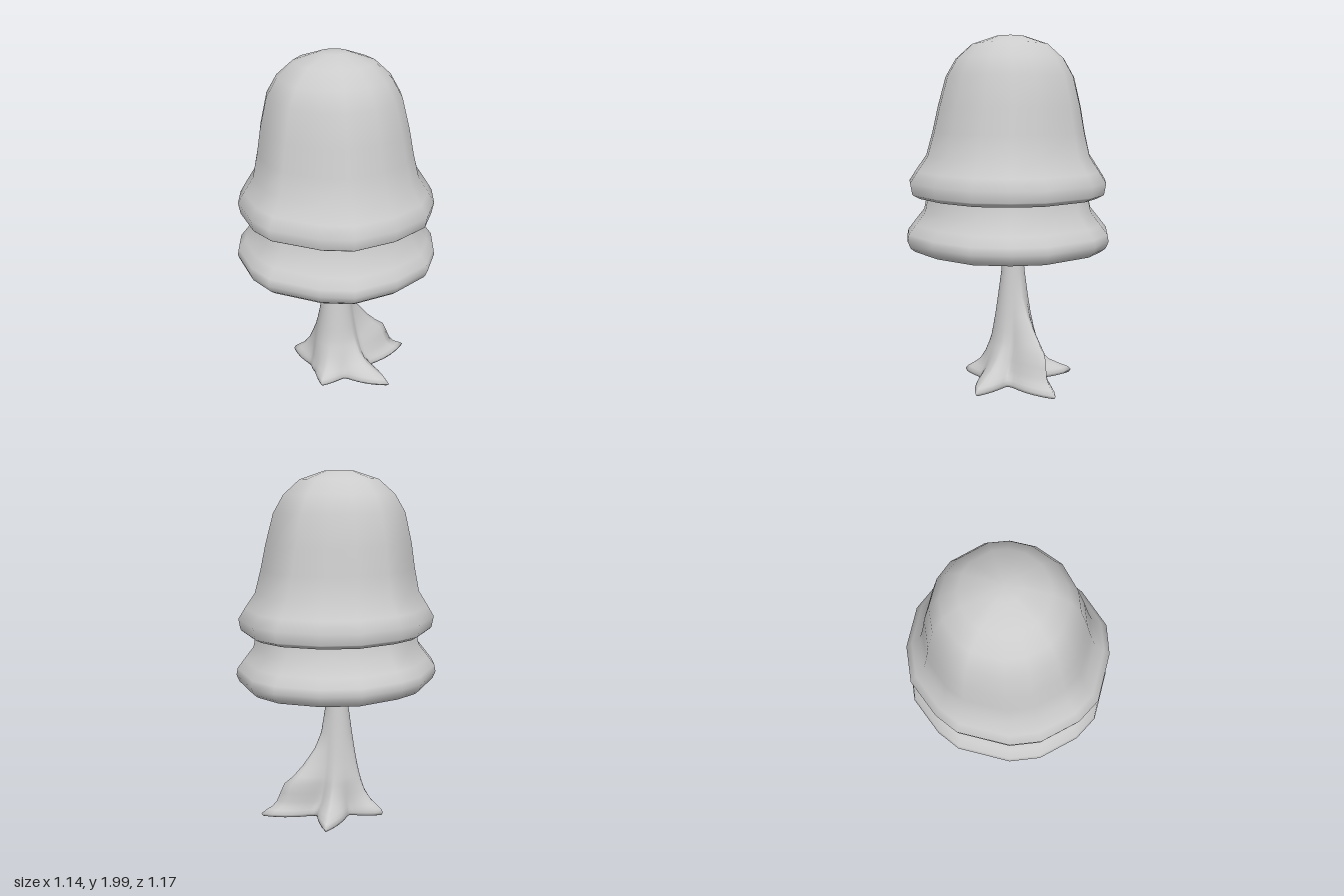
import * as THREE from 'three';
import { mergeVertices } from 'three/addons/utils/BufferGeometryUtils.js';

const material = new THREE.MeshStandardMaterial({ color: 0xcccccc });
const { clamp, lerp } = THREE.MathUtils;

// Uneven plan outline shared by both foliage tiers: [x, z]
const OUTLINE = [
  [-0.06, -0.59], [0.19, -0.57], [0.35, -0.48], [0.54, -0.22],
  [0.57, -0.03], [0.55, 0.18], [0.41, 0.39], [0.21, 0.55],
  [0.03, 0.58], [-0.26, 0.535], [-0.39, 0.44], [-0.53, 0.24],
  [-0.57, 0.07], [-0.53, -0.23], [-0.45, -0.36], [-0.27, -0.53],
];
const OUTLINE_RADIUS = 0.575;

// Skin closed rings; point(ring, segment) returns [x, y, z]
function loft(name, rings, segments, point) {
  const positions = [], index = [];
  for (let i = 0; i < rings; i++) {
    for (let j = 0; j < segments; j++) {
      positions.push(...point(i, j));
      if (i === rings - 1) continue;
      const a = i * segments + j, b = i * segments + (j + 1) % segments;
      const c = a + segments, d = b + segments;
      index.push(a, c, b, b, c, d);
    }
  }
  let geometry = new THREE.BufferGeometry();
  geometry.setAttribute('position', new THREE.Float32BufferAttribute(positions, 3));
  geometry.setIndex(index);
  geometry = mergeVertices(geometry, 1e-4);
  geometry.computeVertexNormals();
  const mesh = new THREE.Mesh(geometry, material);
  mesh.name = name;
  return mesh;
}

// Foliage tier: profile [radius, y] from the inner ceiling, round the rim, to the top.
// The plan becomes rounder and leans slightly towards the crown.
function foliage(name, profile, tilt) {
  return loft(name, profile.length, OUTLINE.length, (i, j) => {
    const [r, y] = profile[i];
    const [ox, oz] = OUTLINE[j];
    const s = r / OUTLINE_RADIUS;
    const rise = clamp((y - 1.2) / 0.5, 0, 1);
    const round = lerp(1, OUTLINE_RADIUS / Math.hypot(ox, oz), rise);
    const lean = -0.018 * rise;
    return [ox * s * round + lean, y - tilt * ox * s * s, oz * s * round + lean];
  });
}

// Trunk rings: [y, core radius, root spread, spread of the one arched root]
const TRUNK = [
  [0.03, 0, 0, 0], [0.022, 0.12, 0.6, 0.6], [0.012, 0.165, 0.95, 0.96],
  [0.03, 0.17, 1, 1], [0.05, 0.165, 0.93, 0.9], [0.07, 0.16, 0.75, 0.78],
  [0.1, 0.152, 0.5, 0.7], [0.15, 0.145, 0.28, 0.64], [0.21, 0.135, 0.16, 0.57],
  [0.25, 0.128, 0.1, 0.42], [0.31, 0.117, 0.06, 0.27], [0.4, 0.102, 0.03, 0.11],
  [0.5, 0.088, 0, 0.02], [0.65, 0.068, 0, 0], [0.8, 0.056, 0, 0],
  [0.93, 0.056, 0, 0], [1.03, 0.068, 0, 0],
];
const TRUNK_SEGMENTS = 72;
const STEP = (Math.PI * 2) / TRUNK_SEGMENTS;

// Roots: [tip x, tip z, flatness], turned onto the nearest trunk segment; the first is arched
const ROOTS = [
  [0.39, -0.27, 1], [0.355, 0.18, 1.6], [-0.05, 0.25, 2.2],
  [-0.305, -0.07, 1], [-0.04, -0.385, 1.4],
].map(([x, z, flatness], n) => ({
  angle: Math.round(Math.atan2(z, x) / STEP) * STEP,
  length: Math.hypot(x, z),
  flatness,
  arched: n === 0,
}));

function trunk() {
  return loft('trunk', TRUNK.length, TRUNK_SEGMENTS, (i, j) => {
    const [y, core, spread, archSpread] = TRUNK[i];
    const angle = j * STEP;
    let r = core;
    for (const root of ROOTS) {
      const away = Math.acos(clamp(Math.cos(angle - root.angle), -1, 1));
      const lobe = Math.max(0, 1 - away / 0.65) ** (root.arched ? 1.4 : 1.6);
      const reach = root.arched ? archSpread : spread ** root.flatness;
      r += lobe * reach * (root.length - core);
    }
    // The stem leans back above the roots
    const rise = clamp((y - 0.04) / 0.2, 0, 1);
    return [r * Math.cos(angle) - 0.01 * rise, y, r * Math.sin(angle) - 0.035 * rise];
  });
}

export function createModel() {
  const tree = new THREE.Group();
  tree.name = 'tree';
  tree.add(trunk());

  // Lower tier: hollow skirt, ceiling sagging to the trunk, neck tucked under the crown
  tree.add(foliage('lowerFoliage', [
    [0, 0.99], [0.1, 1.01], [0.25, 1.075], [0.26, 1.08], [0.4, 1.01], [0.47, 0.91],
    [0.5, 0.83], [0.512, 0.803], [0.535, 0.8], [0.56, 0.822], [0.575, 0.86],
    [0.568, 0.9], [0.53, 0.95], [0.475, 1.02], [0.455, 1.12], [0.44, 1.2], [0, 1.22],
  ], 0.018));

  // Upper tier: bell-shaped crown with a bevelled underside
  tree.add(foliage('upperFoliage', [
    [0, 1.19], [0.43, 1.17], [0.47, 1.12], [0.495, 1.097], [0.505, 1.097],
    [0.54, 1.117], [0.545, 1.123], [0.556, 1.185], [0.52, 1.245], [0.465, 1.33],
    [0.435, 1.46], [0.41, 1.6], [0.368, 1.77], [0.31, 1.87], [0.22, 1.95],
    [0.08, 1.997], [0, 2],
  ], 0.015));

  return tree;
}
